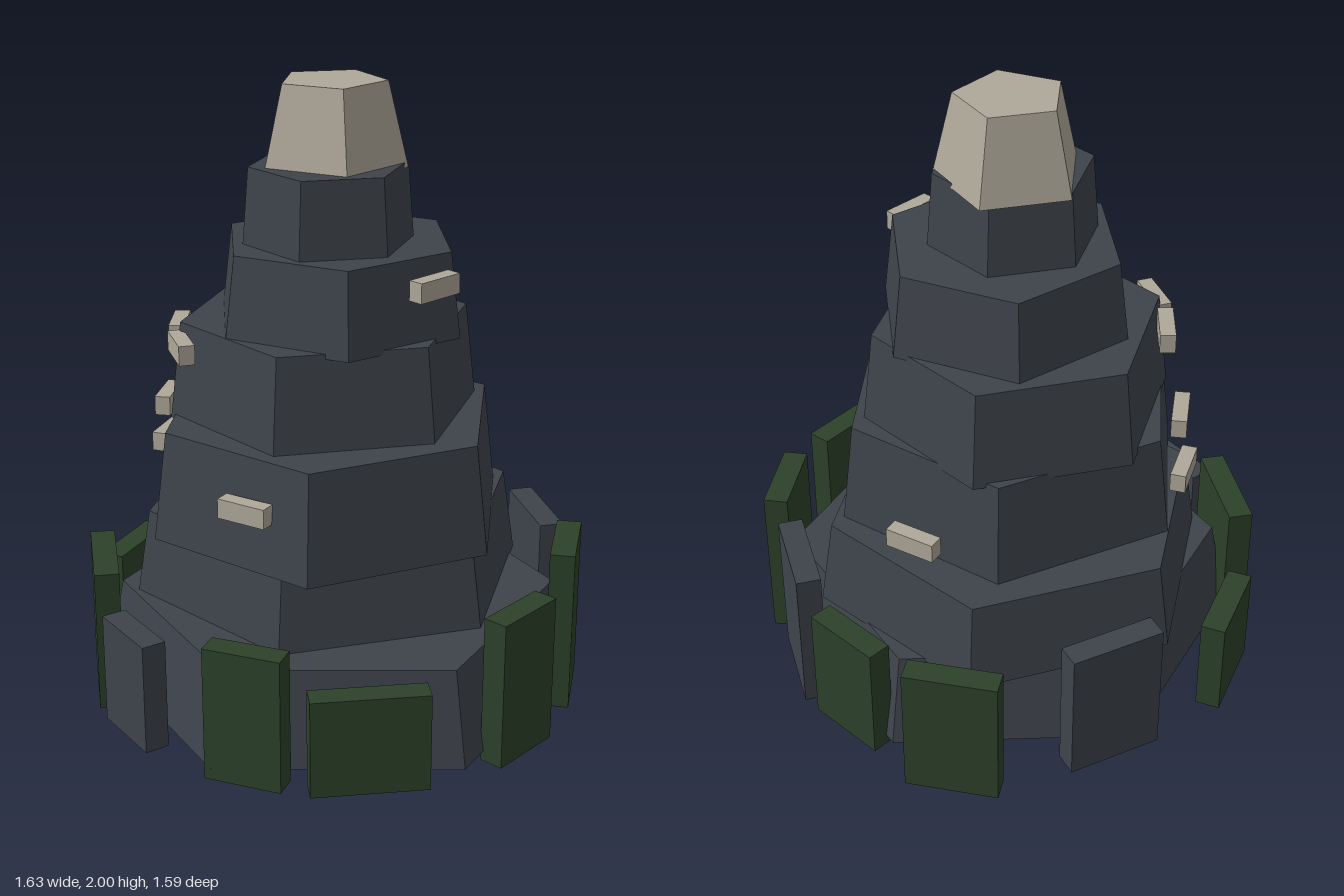
import * as THREE from 'three';

export function createModel() {
  const model = new THREE.Group();
  model.name = 'rockSpire';

  const material = (name, color) => {
    const m = new THREE.MeshStandardMaterial({ color, flatShading: true });
    m.name = name;
    return m;
  };
  const slate = material('slate', 0x3e434b);
  const moss = material('moss', 0x2c412a);
  const bone = material('paleStone', 0xaea899);

  const add = (name, geometry, mat, x, y, z, turn = 0) => {
    const mesh = new THREE.Mesh(geometry, mat);
    mesh.name = name;
    mesh.position.set(x, y, z);
    mesh.rotation.y = turn;
    model.add(mesh);
  };

  // Tapered tier; angle is the direction of one corner, measured from +x towards +z
  const tier = (name, mat, sides, [x, z, y0, y1, rBottom, rTop, angle]) => {
    const start = Math.PI / 2 - THREE.MathUtils.degToRad(angle);
    const g = new THREE.CylinderGeometry(rTop, rBottom, y1 - y0, sides, 1, false, start);
    add(name, g, mat, x, (y0 + y1) / 2, z);
  };

  // Six stacked hexagonal rock tiers, each slightly off centre and turned
  [
    [0.03, 0, 0.035, 0.345, 0.77, 0.71, 12],
    [-0.07, -0.06, 0.335, 0.62, 0.655, 0.61, -4],
    [0.015, 0.018, 0.605, 0.955, 0.6, 0.555, -11.5],
    [-0.04, -0.01, 0.94, 1.255, 0.5, 0.463, 0],
    [0.01, -0.02, 1.24, 1.51, 0.415, 0.38, 38],
    [0.01, 0.02, 1.5, 1.75, 0.27, 0.25, 1],
  ].forEach((t, i) => tier(`rockTier${i + 1}`, slate, 6, t));

  // Pale five-sided peak
  tier('peak', bone, 5, [-0.017, -0.018, 1.735, 2, 0.235, 0.172, 175]);

  // Upright slabs around the foot: x, z, length, height, direction x, direction z, material
  [
    [-0.443, -0.683, 0.3, 0.45, 58, -38, moss],
    [-0.03, -0.74, 0.275, 0.4, 63, -2, moss],
    [0.29, -0.675, 0.32, 0.5, 78, 42, slate],
    [0.59, -0.487, 0.275, 0.54, 39, 52, moss],
    [0.76, -0.09, 0.255, 0.485, 6, 58, moss],
    [0.617, 0.404, 0.365, 0.32, -48, 70, moss],
    [0.34, 0.648, 0.25, 0.44, 50, -26, moss],
    [-0.11, 0.73, 0.26, 0.365, 59, 8, slate],
    [-0.432, 0.605, 0.34, 0.475, 66, 43, moss],
    [-0.717, 0.283, 0.3, 0.33, 27, 63, moss],
    [-0.683, -0.23, 0.315, 0.46, -22, 70, slate],
  ].forEach(([x, z, length, height, dx, dz, mat], i) => {
    const g = new THREE.BoxGeometry(length, height, 0.08);
    add(`footSlab${i + 1}`, g, mat, x, height / 2, z, Math.atan2(-dz, dx));
  });

  // Small pale ledges on the tier walls: x, y, z, direction x, direction z
  [
    [-0.52, 0.775, 0.26, 16, 30],
    [-0.457, 0.932, 0.305, 26, 34],
    [-0.365, 1.2, 0.322, 30, 30],
    [-0.212, 1.195, 0.435, 36, 17],
    [0.192, 0.8, 0.52, 37, -11],
    [0.425, 1.44, -0.03, 1, 37],
    [-0.168, 0.75, -0.58, 37, -10],
  ].forEach(([x, y, z, dx, dz], i) => {
    const g = new THREE.BoxGeometry(0.165, 0.063, 0.05);
    add(`ledge${i + 1}`, g, bone, x, y, z, Math.atan2(-dz, dx));
  });

  return model;
}
